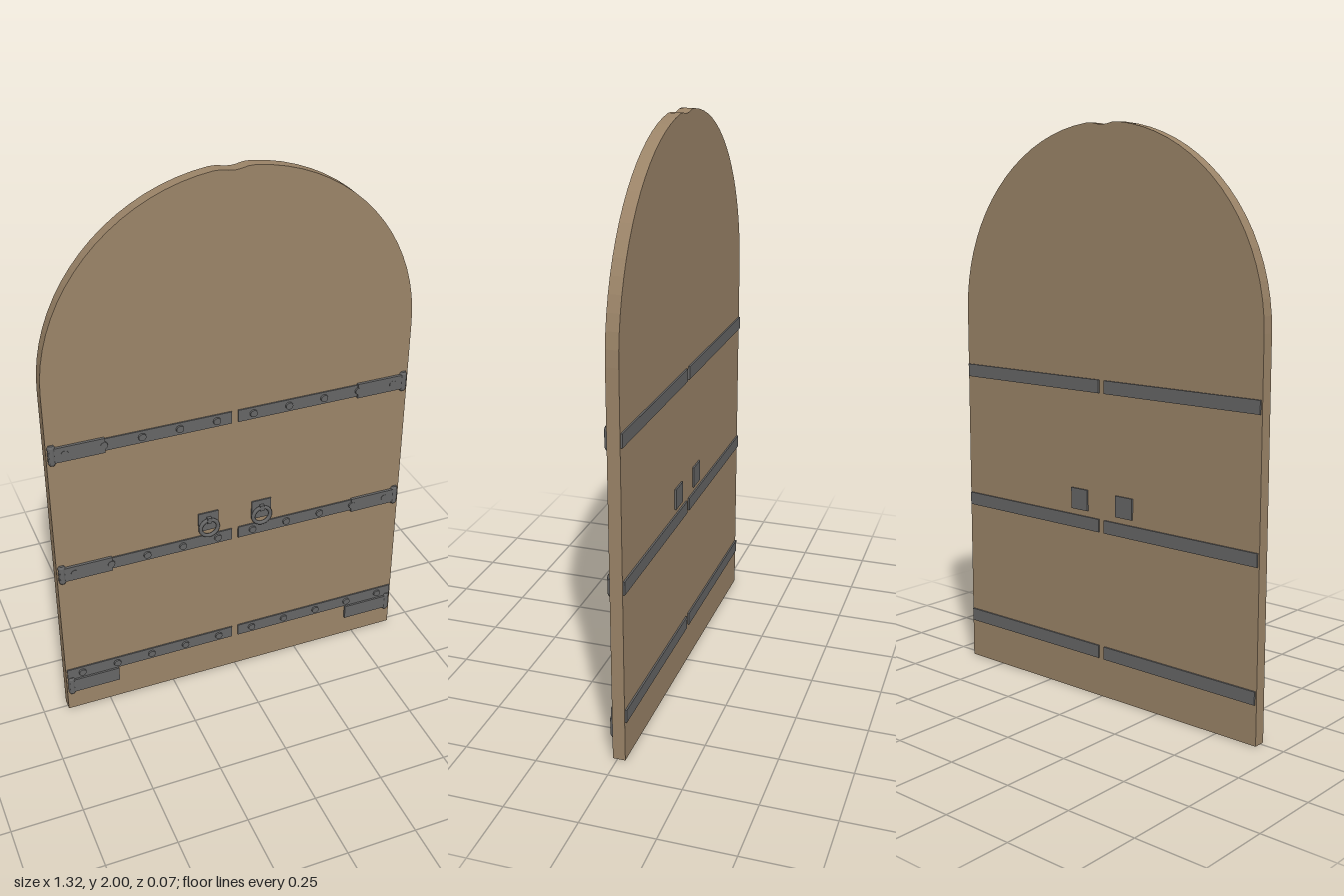
import * as THREE from 'three';

const wood = new THREE.MeshStandardMaterial({ color: 0x9b8468 });
const iron = new THREE.MeshStandardMaterial({ color: 0x666666 });

const BACK = -0.027, FRONT = 0.016; // faces of the wooden panel
const HALF = 0.66, SPRING = 1.343;

function add(parent, name, geometry, material, x, y, z) {
  const mesh = new THREE.Mesh(geometry, material);
  mesh.name = name;
  mesh.position.set(x, y, z);
  parent.add(mesh);
  return mesh;
}

// Box given by its limits on each axis; x limits are mirrored by side
function slab(parent, name, side, [x0, x1], [y0, y1], [z0, z1]) {
  return add(parent, name, new THREE.BoxGeometry(x1 - x0, y1 - y0, z1 - z0), iron,
    side * (x0 + x1) / 2, (y0 + y1) / 2, (z0 + z1) / 2);
}

// Round-arched panel with a shallow dip at the crown
function doorPanel() {
  const shape = new THREE.Shape();
  shape.moveTo(-HALF, 0);
  shape.lineTo(HALF, 0);
  shape.lineTo(HALF, SPRING);
  const n = 18, end = Math.acos(0.07 / HALF);
  for (let i = 1; i <= n; i++) {
    const a = end * i / n;
    shape.lineTo(HALF * Math.cos(a), SPRING + HALF * Math.sin(a));
  }
  shape.lineTo(0.045, 1.999);
  shape.lineTo(0.02, 1.994);
  shape.lineTo(0, 1.992);
  shape.lineTo(-0.02, 1.994);
  shape.lineTo(-0.045, 1.999);
  for (let i = n; i >= 0; i--) {
    const a = end * i / n;
    shape.lineTo(-HALF * Math.cos(a), SPRING + HALF * Math.sin(a));
  }
  const g = new THREE.ExtrudeGeometry(shape, { depth: FRONT - BACK, bevelEnabled: false });
  return g.translate(0, 0, BACK);
}

export function createModel() {
  const model = new THREE.Group();
  model.name = 'archedDoor';
  add(model, 'doorPanel', doorPanel(), wood, 0, 0, 0);

  const rivet = new THREE.CylinderGeometry(0.013, 0.015, 0.012, 16).rotateX(Math.PI / 2);
  const knuckle = new THREE.CylinderGeometry(0.013, 0.013, 0.06, 12);
  const knuckleCap = new THREE.CylinderGeometry(0.009, 0.013, 0.008, 12);
  const ring = new THREE.TorusGeometry(0.033, 0.007, 8, 28);

  for (const side of [-1, 1]) {
    const leaf = new THREE.Group();
    leaf.name = side > 0 ? 'leftIronwork' : 'rightIronwork';
    model.add(leaf);

    // Iron straps on both faces, riveted at the front
    for (const y of [0.164, 0.624, 1.115]) {
      slab(leaf, 'frontStrap', side, [0.012, 0.655], [y - 0.023, y + 0.023], [FRONT - 0.002, 0.021]);
      slab(leaf, 'backStrap', side, [0.012, 0.655], [y - 0.023, y + 0.023], [-0.033, BACK + 0.002]);
      for (let i = 0; i < 5; i++) {
        add(leaf, 'rivet', rivet, iron, side * (0.067 + 0.133 * i), y, 0.021);
      }
    }

    // Hinges: flat plate and upright knuckle at the outer edge
    for (const y of [0.111, 0.624, 1.115]) {
      slab(leaf, 'hingePlate', side, [0.462, 0.65], [y - 0.028, y + 0.028], [FRONT - 0.002, 0.026]);
      add(leaf, 'hingeKnuckle', knuckle, iron, side * 0.642, y, 0.016);
      add(leaf, 'hingeCapTop', knuckleCap, iron, side * 0.642, y + 0.034, 0.016);
      add(leaf, 'hingeCapBottom', knuckleCap, iron, side * 0.642, y - 0.034, 0.016).rotation.x = Math.PI;
    }

    // Ring pull with a square plate on each face
    slab(leaf, 'pullPlate', side, [0.064, 0.139], [0.668, 0.743], [FRONT - 0.002, 0.021]);
    slab(leaf, 'backPlate', side, [0.064, 0.139], [0.668, 0.743], [-0.033, BACK + 0.002]);
    add(leaf, 'pullRing', ring, iron, side * 0.101, 0.681, 0.026);
    slab(leaf, 'pullStaple', side, [0.093, 0.109], [0.703, 0.725], [0.02, 0.033]);
  }
  return model;
}
